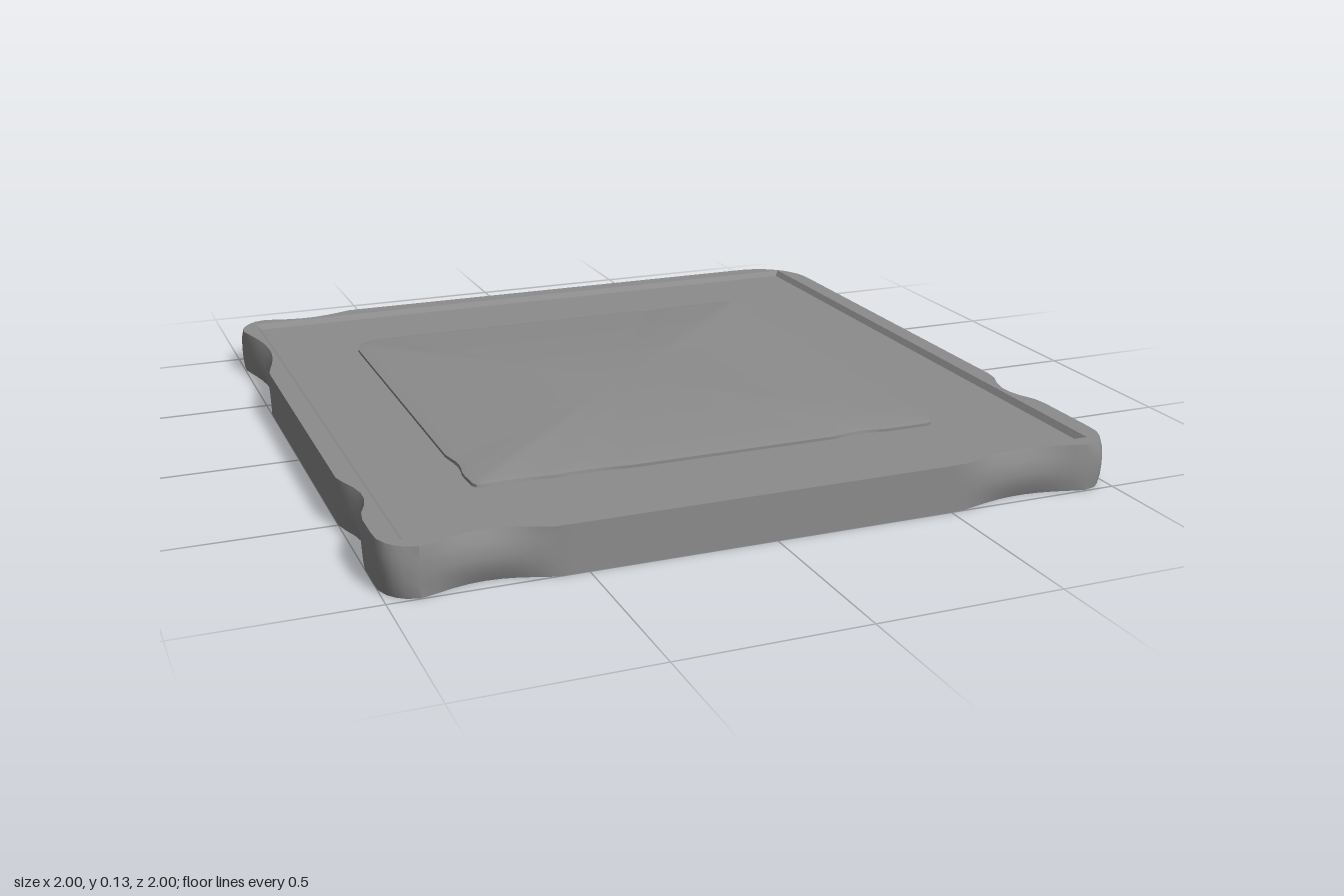
import * as THREE from 'three';
import { toCreasedNormals } from 'three/addons/utils/BufferGeometryUtils.js';

const SEG = 48; // samples per side

// Walk round a unit square, from +x towards +z
function squarePoints() {
  const pts = [];
  for (let k = 0; k < 4; k++) {
    for (let i = 0; i < SEG; i++) {
      const u = -1 + (2 * i) / SEG;
      pts.push([[1, u], [-u, 1], [-1, -u], [u, -1]][k]);
    }
  }
  return pts;
}

// One square ring: rounded corners, with chips pushed inwards
function ring({ y, size, wear = 0, round = 0 }, corners, chips) {
  return squarePoints().map(([px, pz]) => {
    let x = px, z = pz;
    const corner = (x > 0 ? 1 : 0) + (z > 0 ? 2 : 0);
    const r = Math.max(0.001, corners[corner] * round);
    const qx = THREE.MathUtils.clamp(x, r - 1, 1 - r);
    const qz = THREE.MathUtils.clamp(z, r - 1, 1 - r);
    const len = Math.hypot(x - qx, z - qz);
    const nx = (x - qx) / len, nz = (z - qz) / len;
    x = qx + nx * r;
    z = qz + nz * r;
    let cut = 0;
    for (const [cx, cz, radius, depth] of chips) {
      const d = Math.hypot(px - cx, pz - cz) / radius;
      if (d < 1) cut = Math.max(cut, depth * (1 - d * d) ** 1.3);
    }
    x -= nx * cut * wear;
    z -= nz * cut * wear;
    return [x * size, y, z * size];
  });
}

// Skin the rings from bottom to top; a ring of size 0 closes the end
function loft(levels, corners, chips) {
  const rings = levels.map((l) => ring(l, corners, chips));
  const pos = [];
  for (let j = 0; j + 1 < rings.length; j++) {
    for (let i = 0; i < SEG * 4; i++) {
      const n = (i + 1) % (SEG * 4);
      const a = rings[j][i], b = rings[j][n], c = rings[j + 1][n], d = rings[j + 1][i];
      if (levels[j + 1].size > 0) pos.push(...a, ...d, ...c);
      if (levels[j].size > 0) pos.push(...a, ...c, ...b);
    }
  }
  const geo = new THREE.BufferGeometry();
  geo.setAttribute('position', new THREE.Float32BufferAttribute(pos, 3));
  return toCreasedNormals(geo, 0.5);
}

export function createModel() {
  const group = new THREE.Group();
  group.name = 'stoneTile';
  const stone = new THREE.MeshStandardMaterial({ color: 0x8c8c8c });
  stone.name = 'grey stone';

  // Slab with a narrow rim around a shallow recess
  const slabChips = [
    [-0.75, 1, 0.17, 0.045], [0.73, 1, 0.2, 0.042], [1, 0.52, 0.12, 0.038],
    [-1, 0.64, 0.13, 0.036], [-1, -0.65, 0.24, 0.045], [-0.78, -1, 0.16, 0.04],
  ];
  const slab = new THREE.Mesh(loft([
    { y: 0, size: 0 },
    { y: 0, size: 1, wear: 0.9, round: 1 },
    { y: 0.03, size: 1, wear: 0.6, round: 0.85 },
    { y: 0.065, size: 1, wear: 0.45, round: 0.8 },
    { y: 0.1, size: 1, wear: 0.65, round: 0.85 },
    { y: 0.13, size: 1, wear: 1, round: 1.1 },
    { y: 0.13, size: 0.945 },
    { y: 0.114, size: 0.932 },
    { y: 0.114, size: 0 },
  ], [0.12, 0.16, 0.1, 0.1], slabChips), stone);
  slab.name = 'slab';
  group.add(slab);

  // Raised panel with a worn bevel, slightly off centre
  const panelChips = [
    [-0.85, 1, 0.25, 0.025], [-0.55, 1, 0.2, 0.018], [0.65, 1, 0.12, 0.02],
    [-1, 0.75, 0.12, 0.02], [1, -0.75, 0.3, 0.018], [0.53, -1, 0.1, 0.015],
  ];
  const panel = new THREE.Mesh(loft([
    { y: 0.112, size: 0.667, wear: 0.8, round: 1 },
    { y: 0.122, size: 0.667, wear: 1, round: 1 },
    { y: 0.127, size: 0.637, wear: 0.4, round: 0.5 },
    { y: 0.127, size: 0 },
  ], [0.14, 0.06, 0.05, 0.05], panelChips), stone);
  panel.name = 'panel';
  panel.position.set(-0.025, 0, 0.005);
  group.add(panel);

  return group;
}
